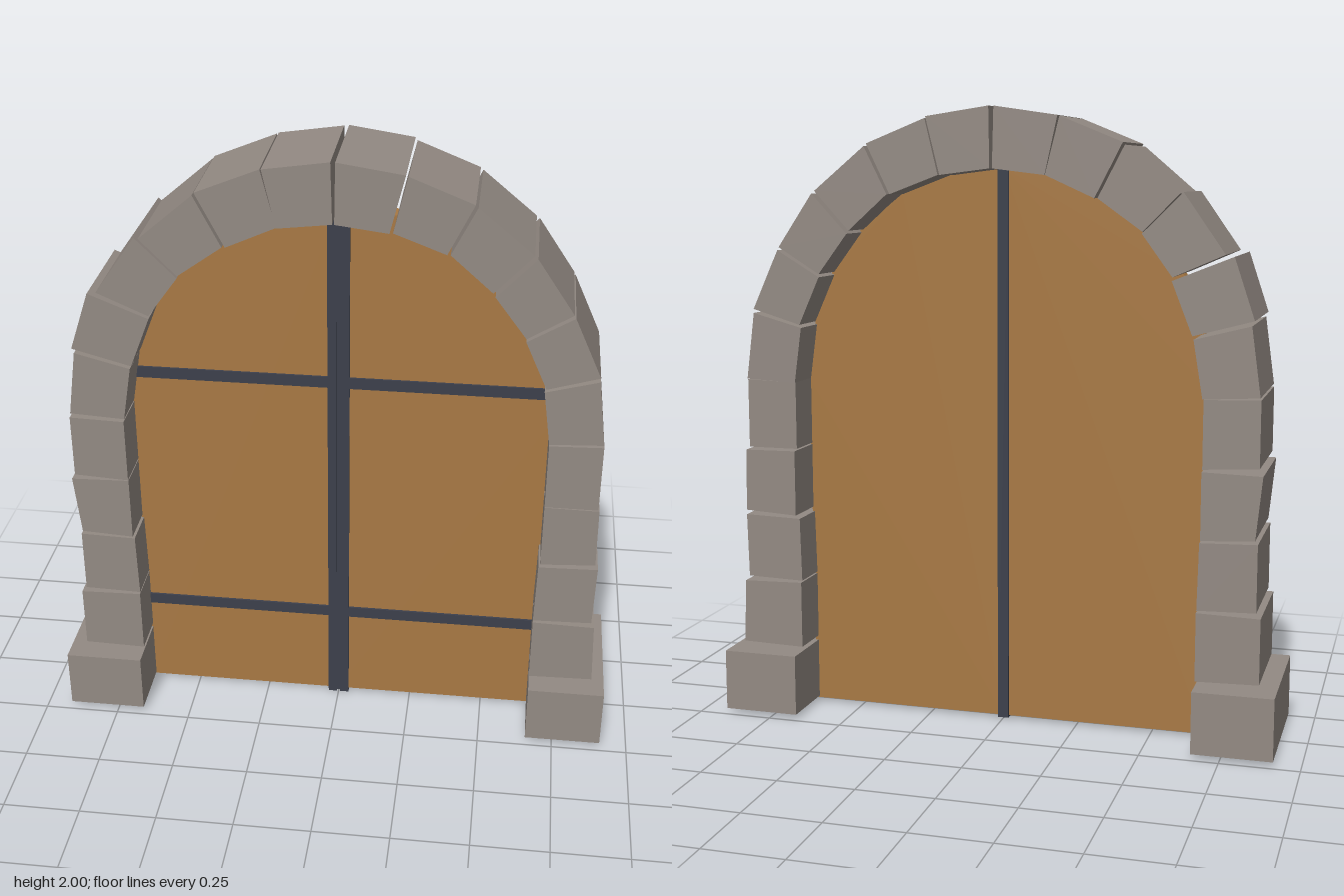
import * as THREE from 'three';

export function createModel() {
  const group = new THREE.Group();
  const material = (name, color) => {
    const m = new THREE.MeshStandardMaterial({ color });
    m.name = name;
    return m;
  };
  const stone = material('stone', 0x938a83);
  const wood = material('wood', 0xa87944);
  const iron = material('iron', 0x3c404c);

  const add = (name, geometry, mat) => {
    const mesh = new THREE.Mesh(geometry, mat);
    mesh.name = name;
    group.add(mesh);
  };
  // Box given by its two extreme corners
  const box = (name, mat, x0, x1, y0, y1, z0, z1) => {
    const g = new THREE.BoxGeometry(x1 - x0, y1 - y0, z1 - z0);
    g.translate((x0 + x1) / 2, (y0 + y1) / 2, (z0 + z1) / 2);
    add(name, g, mat);
  };
  // Flat outline extruded between two depths
  const slab = (name, mat, points, z0, z1) => {
    const shape = new THREE.Shape(points.map(([x, y]) => new THREE.Vector2(x, y)));
    const g = new THREE.ExtrudeGeometry(shape, { depth: z1 - z0, bevelEnabled: false });
    g.translate(0, 0, z0);
    add(name, g, mat);
  };

  // Foot blocks
  box('rightFootBlock', stone, -0.915, -0.66, 0.015, 0.215, -0.235, 0.23);
  box('leftFootBlock', stone, 0.66, 0.91, 0.015, 0.215, -0.235, 0.23);

  // Stones from foot to crown: outer low, outer high, inner high, inner low, then back and front depth
  const rightStones = [
    [-0.86, 0.235, -0.86, 0.445, -0.66, 0.45, -0.66, 0.23, -0.175, 0.17],
    [-0.845, 0.46, -0.845, 0.675, -0.665, 0.67, -0.66, 0.455, -0.165, 0.165],
    [-0.838, 0.69, -0.858, 0.89, -0.67, 0.895, -0.67, 0.68, -0.18, 0.17],
    [-0.845, 0.91, -0.845, 1.12, -0.67, 1.115, -0.67, 0.9, -0.165, 0.175],
    [-0.845, 1.13, -0.815, 1.345, -0.64, 1.30, -0.67, 1.12, -0.19, 0.165],
    [-0.822, 1.36, -0.758, 1.55, -0.57, 1.475, -0.635, 1.31, -0.185, 0.165],
    [-0.73, 1.555, -0.60, 1.74, -0.475, 1.615, -0.57, 1.485, -0.175, 0.165],
    [-0.588, 1.735, -0.418, 1.88, -0.335, 1.72, -0.475, 1.62, -0.165, 0.16],
    [-0.412, 1.888, -0.215, 1.968, -0.17, 1.79, -0.325, 1.72, -0.165, 0.16],
    [-0.21, 1.97, -0.008, 2.0, -0.003, 1.81, -0.17, 1.79, -0.17, 0.165],
  ];
  const leftStones = [
    [0.868, 0.235, 0.86, 0.445, 0.66, 0.45, 0.66, 0.23, -0.17, 0.17],
    [0.85, 0.46, 0.855, 0.67, 0.665, 0.665, 0.66, 0.455, -0.16, 0.165],
    [0.845, 0.69, 0.842, 0.893, 0.67, 0.895, 0.67, 0.68, -0.18, 0.17],
    [0.838, 0.90, 0.838, 1.125, 0.67, 1.12, 0.67, 0.9, -0.16, 0.175],
    [0.838, 1.128, 0.81, 1.345, 0.645, 1.30, 0.67, 1.12, -0.165, 0.165],
    [0.81, 1.358, 0.722, 1.55, 0.58, 1.465, 0.65, 1.31, -0.165, 0.165],
    [0.717, 1.56, 0.60, 1.732, 0.482, 1.605, 0.58, 1.475, -0.165, 0.165],
    [0.59, 1.74, 0.42, 1.88, 0.345, 1.73, 0.475, 1.615, -0.165, 0.16],
    [0.412, 1.888, 0.217, 1.965, 0.175, 1.79, 0.335, 1.73, -0.165, 0.16],
    [0.21, 1.97, 0.006, 2.0, 0.003, 1.81, 0.165, 1.79, -0.178, 0.165],
  ];
  const layStones = (side, stones) => stones.forEach((s, i) => {
    const corners = [0, 2, 4, 6].map((k) => [s[k], s[k + 1]]);
    slab(`${side}Stone${i + 1}`, stone, corners, s[8], s[9]);
  });
  layStones('right', rightStones);
  layStones('left', leftStones);

  // Two arched door leaves, edges tucked just behind the stones
  const outline = [
    [0, 0.01], [0.67, 0.01], [0.675, 1.12], [0.65, 1.31], [0.585, 1.48],
    [0.48, 1.62], [0.34, 1.73], [0.175, 1.795], [0, 1.815],
  ];
  for (const [side, s] of [['right', -1], ['left', 1]]) {
    slab(`${side}DoorLeaf`, wood, outline.map(([x, y]) => [s * x, y]), -0.03, 0.03);

    // Edge strip and two hinge bars on the front of each leaf
    const across = (a, b) => [s * a, s * b].sort((p, q) => p - q);
    box(`${side}EdgeStrip`, iron, ...across(0.006, 0.035), 0, 1.81, 0.02, 0.04);
    for (const [name, y] of [['Lower', 0.342], ['Upper', 1.226]]) {
      box(`${side}${name}Bar`, iron, ...across(0.035, 0.665), y - 0.019, y + 0.019, 0.02, 0.037);
    }
  }
  // Centre strip running through between the leaves
  box('centreStrip', iron, -0.018, 0.018, 0.003, 1.81, -0.037, 0.034);

  return group;
}
